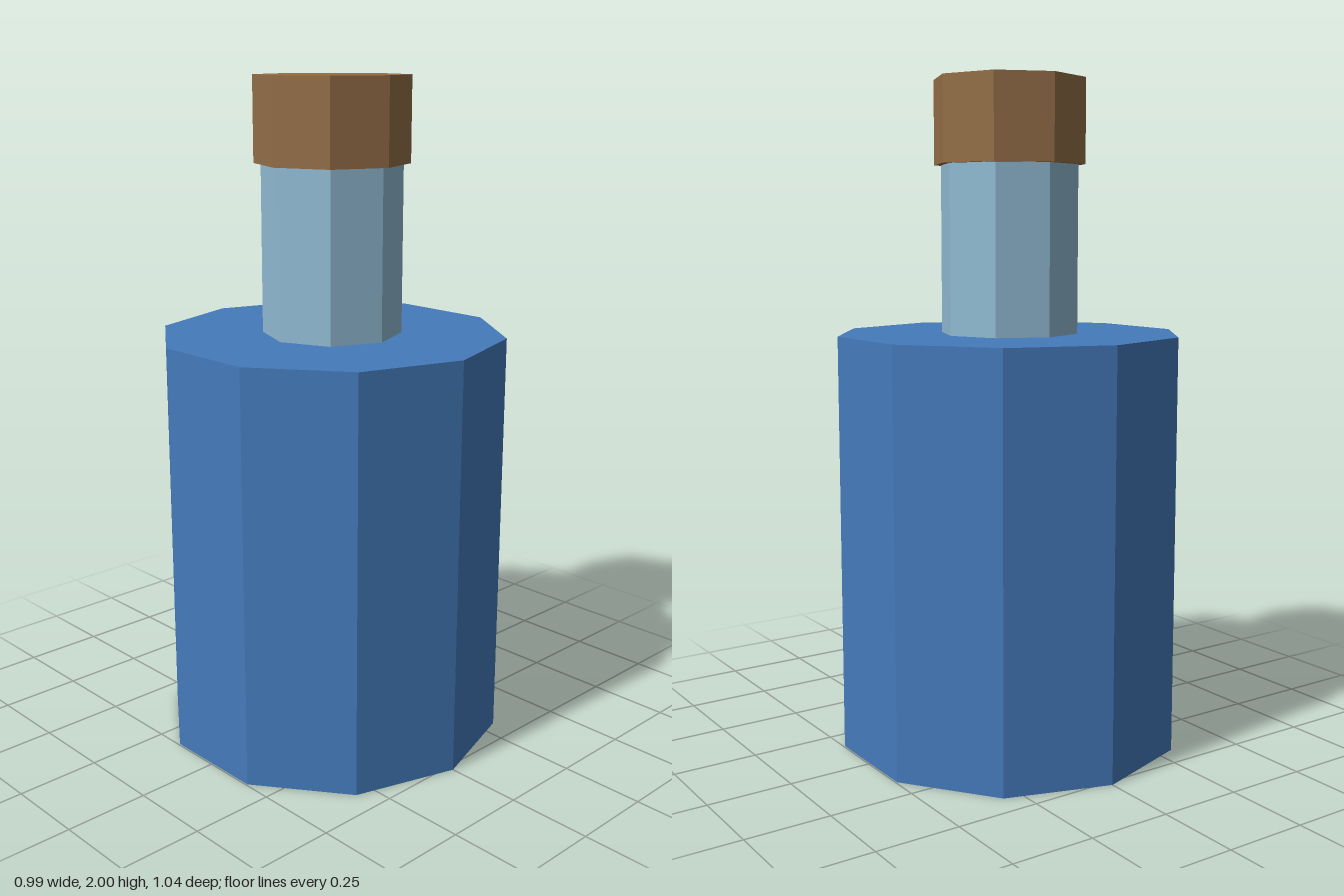
import * as THREE from 'three';

const material = (name, color) => {
  const m = new THREE.MeshStandardMaterial({ color, flatShading: true });
  m.name = name;
  return m;
};

export function createModel() {
  const bottle = new THREE.Group();
  bottle.name = 'bottle';

  // Upright faceted prism standing between two heights
  const addPrism = (name, radius, bottom, top, sides, mat) => {
    const geometry = new THREE.CylinderGeometry(radius, radius, top - bottom, sides);
    const mesh = new THREE.Mesh(geometry, mat);
    mesh.name = name;
    mesh.position.y = (bottom + top) / 2;
    bottle.add(mesh);
  };

  addPrism('body', 0.521, 0, 1.25, 10, material('blue', 0x447abb));
  addPrism('neck', 0.208, 1.25, 1.75, 8, material('pale blue glass', 0x90bad2));
  addPrism('cork', 0.229, 1.75, 2, 8, material('brown cork', 0x936e47));

  return bottle;
}
